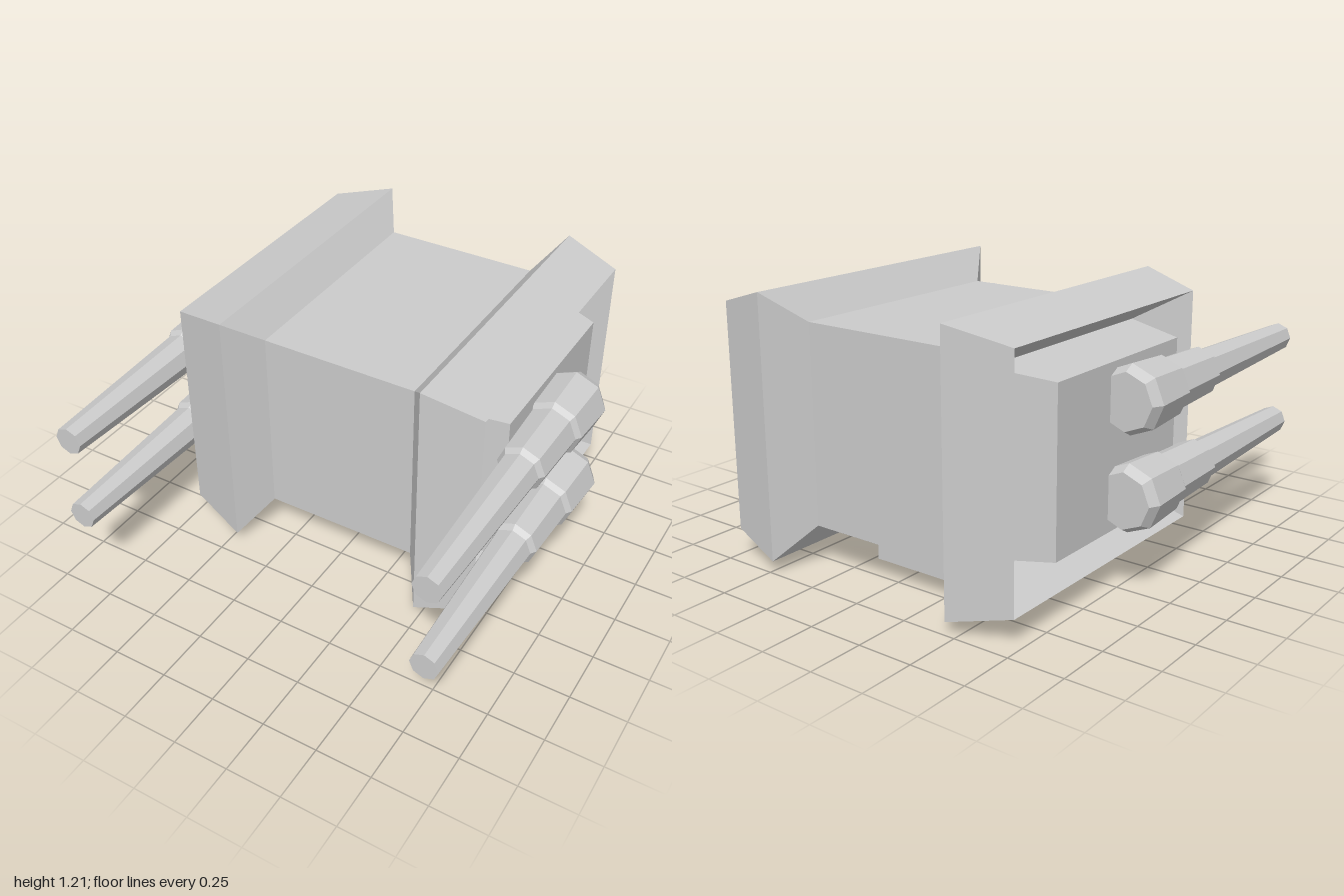
import * as THREE from 'three';

const grey = new THREE.MeshStandardMaterial({ color: 0xcccccc, flatShading: true });

function part(name, geometry) {
  const mesh = new THREE.Mesh(geometry, grey);
  mesh.name = name;
  return mesh;
}

// Skin over rectangular sections [x, yLow, yHigh, zBack, zFront], taken from -x to +x.
function loft(name, sections, capStart = false, capEnd = false) {
  const rings = sections.map(([x, y0, y1, z0, z1]) => [[x, y1, z0], [x, y1, z1], [x, y0, z1], [x, y0, z0]]);
  const pos = [];
  const quad = (a, b, c, d) => pos.push(...a, ...b, ...c, ...a, ...c, ...d);
  for (let i = 0; i + 1 < rings.length; i++) {
    for (let j = 0; j < 4; j++) {
      const k = (j + 1) % 4;
      quad(rings[i][j], rings[i][k], rings[i + 1][k], rings[i + 1][j]);
    }
  }
  if (capStart) quad(...[...rings[0]].reverse());
  if (capEnd) quad(...rings[rings.length - 1]);
  const geometry = new THREE.BufferGeometry();
  geometry.setAttribute('position', new THREE.Float32BufferAttribute(pos, 3));
  geometry.computeVertexNormals();
  return part(name, geometry);
}

export function createModel() {
  const model = new THREE.Group();
  model.name = 'gunTurret';

  // Main housing and the flared, hollow collars on both sides
  const coreR = [0.37, 0.19, 1.07, -0.835, 0.265];
  const coreL = [-0.35, 0.19, 1.07, -0.835, 0.265];
  const baseR = [0.5, 0.25, 1.01, -0.79, 0.23];
  const baseL = [-0.5, 0.25, 1.01, -0.79, 0.23];
  model.add(loft('housing', [coreL, coreR]));
  model.add(loft('leftCollar', [
    coreR, [0.48, 0.055, 1.205, -1, 0.43], [0.735, 0.125, 1.13, -0.945, 0.375], baseR,
  ]));
  model.add(loft('rightCollar', [
    baseL, [-0.725, 0.115, 1.14, -0.925, 0.35], [-0.455, 0.055, 1.205, -1, 0.43], coreL,
  ]));

  // Raised side panels inside the collars
  model.add(loft('leftPanel', [baseR, [0.742, 0.285, 0.975, -0.715, 0.15]], false, true));
  model.add(loft('rightPanel', [[-0.767, 0.28, 0.98, -0.72, 0.15], baseL], true, false));

  // Mounting foot
  const foot = part('foot', new THREE.BoxGeometry(0.44, 0.2, 0.68));
  foot.position.set(0.01, 0.1, -0.28);
  model.add(foot);

  // Eight-sided guns: [radius, z] from breech to muzzle
  const profile = [
    [0, -0.36], [0.12, -0.36], [0.145, -0.315], [0.132, -0.09], [0.115, -0.065],
    [0.105, 0.215], [0.088, 0.24], [0.063, 1], [0, 1],
  ].map(([r, z]) => new THREE.Vector2(r, z));
  const gunGeometry = new THREE.LatheGeometry(profile, 8).rotateX(Math.PI / 2);
  for (const [side, x] of [['left', 0.83], ['right', -0.832]]) {
    for (const [level, y] of [['Upper', 0.833], ['Lower', 0.43]]) {
      const gun = part(`${side}${level}Gun`, gunGeometry);
      gun.position.set(x, y, 0);
      model.add(gun);
    }
  }
  return model;
}
